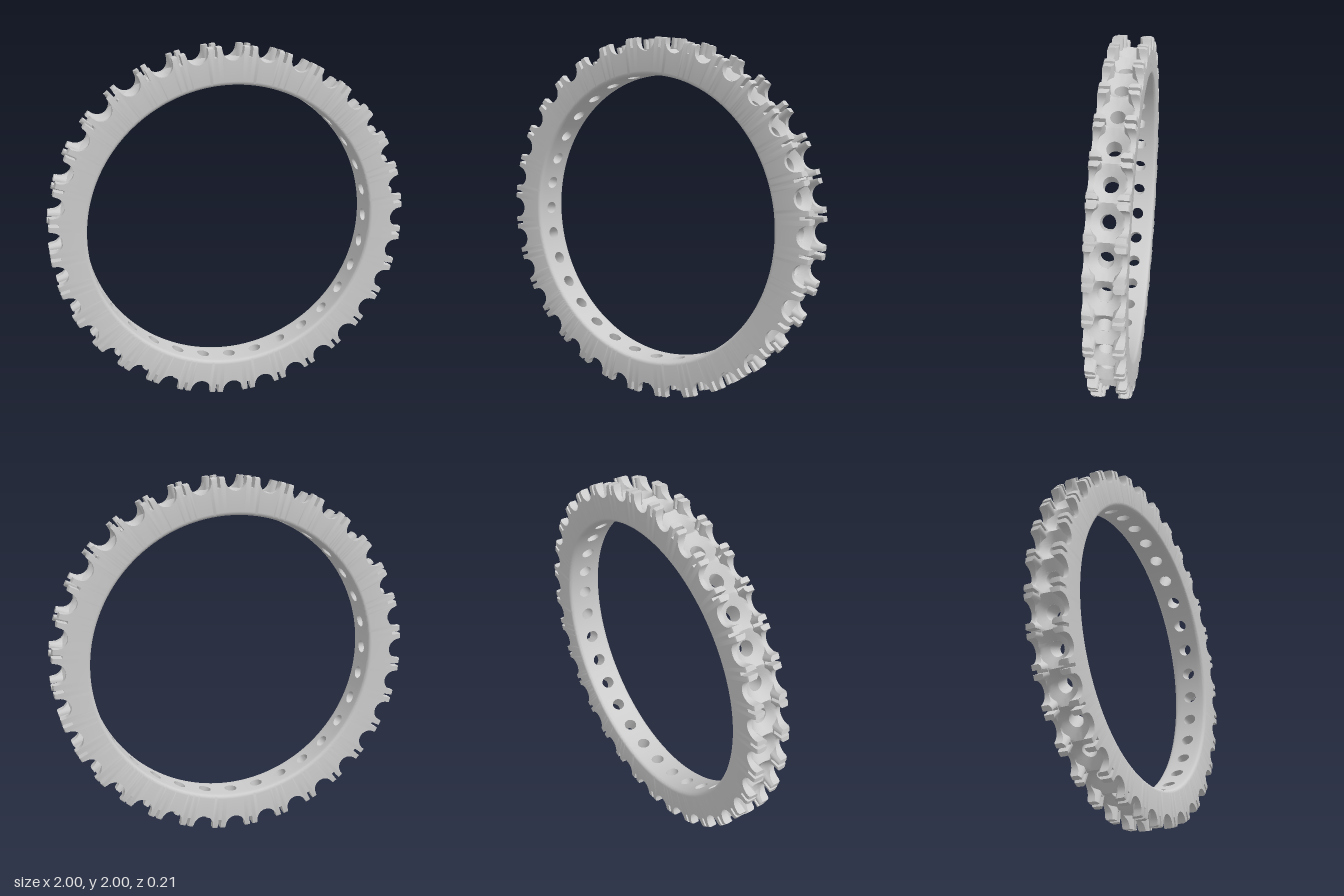
import * as THREE from 'three';
import { toCreasedNormals } from 'three/addons/utils/BufferGeometryUtils.js';

const CELLS = 32;                    // stone seats around the band
const HALF = Math.PI / CELLS;        // half of one cell, as arc on the outer radius 1
const INNER = 0.797, WIDTH = 0.103;  // bore of the band, half its width
const HOLE = 0.038, SEAT = 0.082;    // radius of the drilled hole and of the stone seat
const HOLE_U = HOLE / 0.87;
const half = (r, u) => Math.sqrt(Math.max(0, r * r - u * u));

// Column positions over half a cell: hole, scallop, prong, slot
const steps = [];
for (let k = 0; k <= 5; k++) steps.push(HOLE_U * Math.sin(k * Math.PI / 10));
steps.push(0.049, 0.054, 0.058, 0.06, 0.0612, 0.069, 0.078, 0.0885, 0.0895, HALF);

// Outer height: scallop at the seat, then a prong, then a narrow slot
function topRadius(u) {
  if (u <= 0.0601) return 0.985 - half(0.06, u);
  return u > 0.089 ? 0.945 : 1;
}

// Half cross-section [z, r] of the band at distance u from a seat centre
function section(u) {
  const top = topRadius(u);
  const zHole = u < HOLE_U - 1e-6 ? half(HOLE, u * 0.87) : 0;
  const zWall = Math.max(0.045, half(SEAT, u * 0.95));
  const pts = [[zHole, INNER], [0.06, INNER]];
  // rounded inner edge
  for (let k = 0; k <= 4; k++) {
    const a = k * Math.PI / 8;
    pts.push([WIDTH - 0.02 + 0.02 * Math.sin(a), INNER + 0.02 - 0.02 * Math.cos(a)]);
  }
  // side, softened outer edge and top
  pts.push([WIDTH, Math.min(top, 0.985)], [WIDTH - 0.004, Math.min(top, 0.996)],
    [WIDTH - 0.014, top], [zWall + 0.0005, top]);
  // seat floor, sloping down to the hole
  for (let k = 0; k <= 5; k++) {
    const z = zWall + (zHole - zWall) * k / 5;
    const d = Math.hypot(u * 0.93, z);
    pts.push([z, Math.min(top, 0.94, 0.895 + (d - HOLE) * 0.8)]);
  }
  return { pts, open: zHole > 0 };
}

function bandGeometry() {
  // all columns around the ring
  const columns = [];
  for (let c = 0; c < CELLS; c++) {
    const us = [...steps.slice(1).reverse().map(u => -u), ...steps.slice(0, -1)];
    for (const u of us) columns.push({ angle: c * 2 * HALF + u, ...section(Math.abs(u)) });
  }
  const n = columns[0].pts.length, count = columns.length;
  const pos = [], idx = [];
  for (const side of [1, -1]) {
    const base = pos.length / 3;
    for (const { angle, pts } of columns)
      for (const [z, r] of pts) pos.push(r * Math.sin(angle), 1 + r * Math.cos(angle), side * z);
    for (let i = 0; i < count; i++) {
      const i2 = (i + 1) % count;
      const hasHole = columns[i].open || columns[i2].open;
      // the last step closes the section and forms the hole wall
      for (let j = 0; j < (hasHole ? n : n - 1); j++) {
        const j2 = (j + 1) % n;
        const a = base + i * n + j, b = base + i2 * n + j;
        const c = base + i2 * n + j2, d = base + i * n + j2;
        if (side > 0) idx.push(a, b, c, a, c, d);
        else idx.push(a, c, b, a, d, c);
      }
    }
  }
  const geo = new THREE.BufferGeometry();
  geo.setAttribute('position', new THREE.Float32BufferAttribute(pos, 3));
  geo.setIndex(idx);
  return toCreasedNormals(geo, 0.6);
}

export function createModel() {
  const group = new THREE.Group();
  group.name = 'ring';
  const band = new THREE.Mesh(bandGeometry(), new THREE.MeshStandardMaterial({ color: 0xcccccc }));
  band.name = 'scallopedBand';
  group.add(band);
  return group;
}
